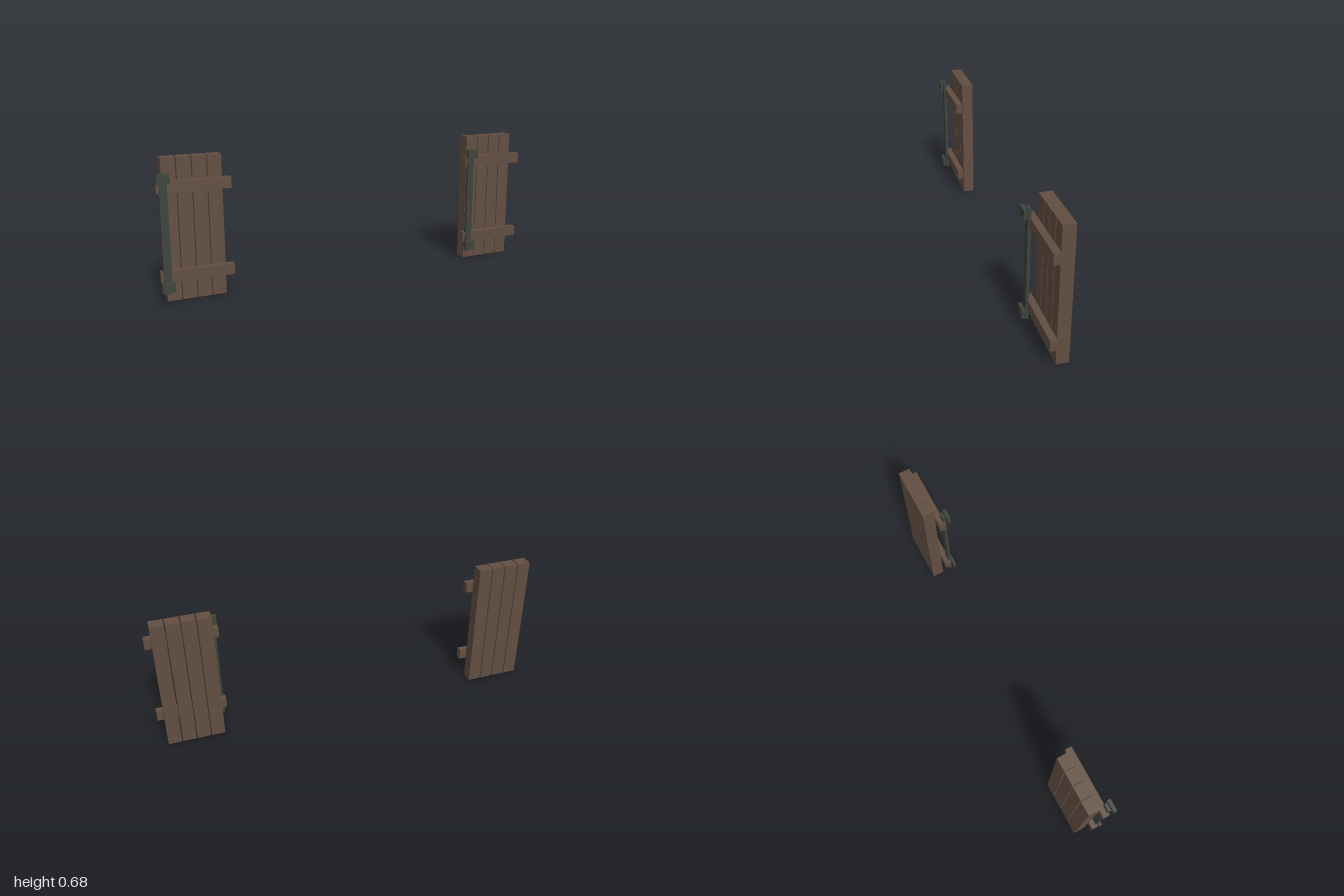
import * as THREE from 'three';

const wood = new THREE.MeshStandardMaterial({ color: 0x624e41 });
wood.name = 'brown wood';
const iron = new THREE.MeshStandardMaterial({ color: 0x3e433c });
iron.name = 'dark iron';

// Box given by its lower and upper corners
function block(name, material, [x0, y0, z0], [x1, y1, z1]) {
  const mesh = new THREE.Mesh(new THREE.BoxGeometry(x1 - x0, y1 - y0, z1 - z0), material);
  mesh.position.set((x0 + x1) / 2, (y0 + y1) / 2, (z0 + z1) / 2);
  mesh.name = name;
  return mesh;
}

// One shutter, with x measured from the middle of its rails
function createShutter(name) {
  const shutter = new THREE.Group();
  shutter.name = name;

  // Four upright planks with narrow gaps
  for (let i = 0; i < 4; i++) {
    const x = -0.141 + i * 0.072;
    shutter.add(block('plank', wood, [x, 0, -0.065], [x + 0.067, 0.681, -0.005]));
  }

  // Cross rails in front of the planks
  for (const y of [0.104, 0.524]) {
    shutter.add(block('crossRail', wood, [-0.174, y, 0.005], [0.174, y + 0.054, 0.038]));
  }

  // Hinge bar and its two brackets on the right-hand edge
  shutter.add(block('hingeBar', iron, [-0.163, 0.052, 0.03], [-0.126, 0.616, 0.045]));
  for (const y of [0.065, 0.571]) {
    shutter.add(block('hingeBracket', iron, [-0.176, y, 0.05], [-0.116, y + 0.047, 0.067]));
  }
  return shutter;
}

export function createModel() {
  const model = new THREE.Group();
  model.name = 'shutterPair';
  for (const [name, x] of [['rightShutter', -0.825], ['leftShutter', 0.825]]) {
    const shutter = createShutter(name);
    shutter.position.x = x;
    model.add(shutter);
  }
  return model;
}
